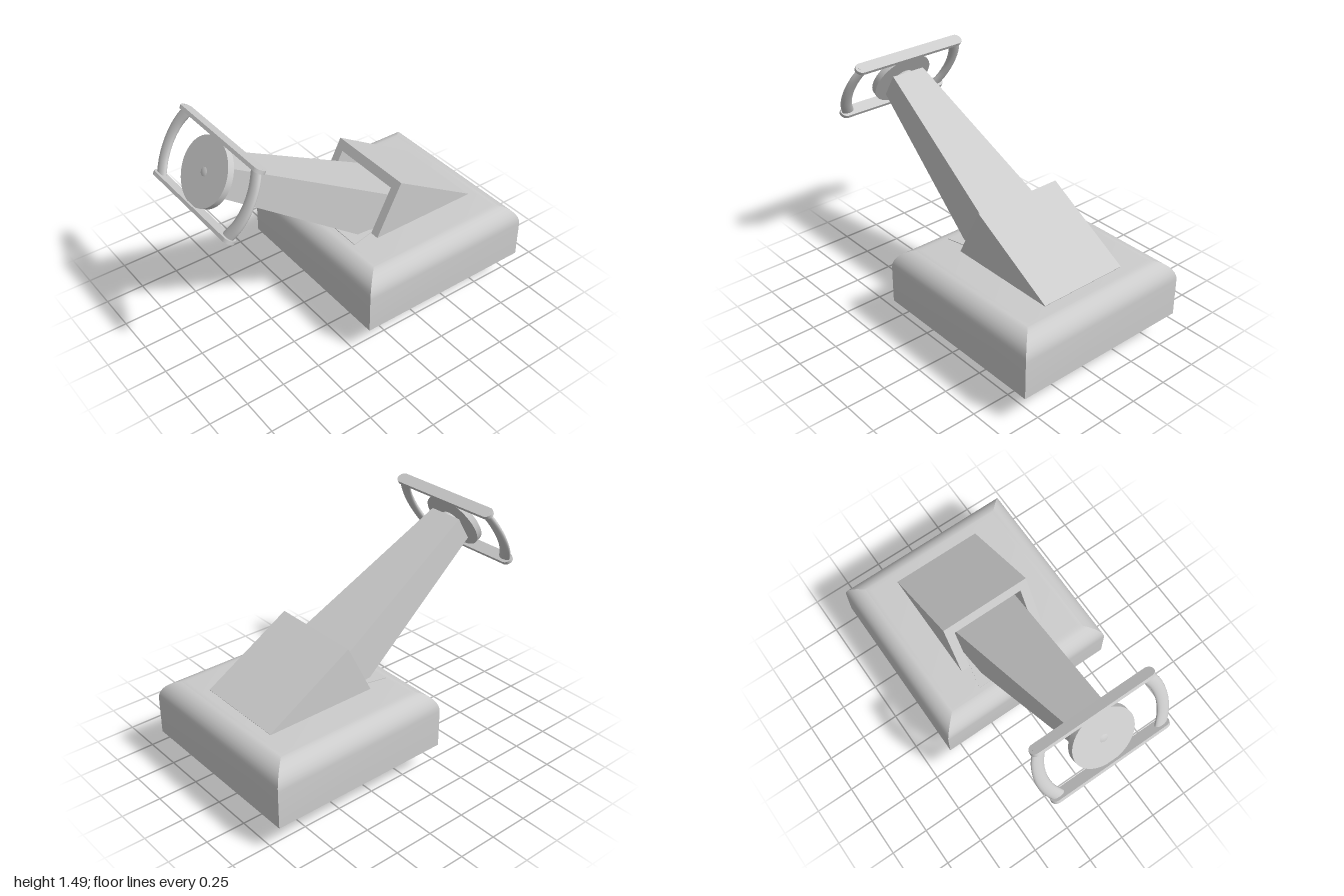
import * as THREE from 'three';
import { toCreasedNormals } from 'three/addons/utils/BufferGeometryUtils.js';

const material = new THREE.MeshStandardMaterial({ color: 0xcccccc });

function add(parent, name, geometry) {
  const mesh = new THREE.Mesh(geometry, material);
  mesh.name = name;
  parent.add(mesh);
}

// Joins a list of four-cornered rings and closes both ends; corners run
// anticlockwise seen from the last ring's end.
function loft(rings) {
  const pos = [];
  const quad = (a, b, c, d) => [a, b, c, a, c, d].forEach((p) => pos.push(...p));
  for (let i = 0; i + 1 < rings.length; i++) {
    for (let k = 0; k < 4; k++) {
      const n = (k + 1) % 4;
      quad(rings[i][k], rings[i][n], rings[i + 1][n], rings[i + 1][k]);
    }
  }
  quad(...[...rings[0]].reverse());
  quad(...rings[rings.length - 1]);
  const g = new THREE.BufferGeometry();
  g.setAttribute('position', new THREE.Float32BufferAttribute(pos, 3));
  g.computeVertexNormals();
  return toCreasedNormals(g, 0.4);
}

const polygon = (pts) => new THREE.Shape(pts.map(([x, y]) => new THREE.Vector2(x, y)));

const TOP = 0.557;

function buildBase(group) {
  const base = new THREE.Group();
  base.name = 'base';
  group.add(base);
  const ring = (inset, y) => {
    const w = 0.598 - inset, f = 0.195 - inset, b = -1 + inset;
    return [[-w, y, f], [w, y, f], [w, y, b], [-w, y, b]];
  };
  // straight walls, then a quarter-round shoulder with mitred corners
  const r = 0.13, rings = [ring(0, 0.185)];
  for (let i = 0; i <= 8; i++) {
    const a = (i / 8) * Math.PI / 2;
    rings.push(ring(r * (1 - Math.cos(a)), TOP - r + r * Math.sin(a)));
  }
  add(base, 'baseBody', loft(rings));

  // thin plate on the base under the arm (shape y is -z)
  const plate = polygon([[-0.27, -0.06], [0.27, -0.06], [0.235, 0.1], [-0.235, 0.1]]);
  add(base, 'armPlate', new THREE.ExtrudeGeometry(plate, { depth: 0.004, bevelEnabled: false })
    .rotateX(-Math.PI / 2).translate(0, TOP, 0));
}

function buildHousing(group) {
  const housing = new THREE.Group();
  housing.name = 'housing';
  group.add(housing);
  // slanted frame: width, height and depth directions from the lowest rear corner
  const slant = new THREE.Matrix4().makeBasis(
    new THREE.Vector3(1, 0, 0),
    new THREE.Vector3(0, 0.561, -0.285),
    new THREE.Vector3(0, 0.331, 0.563)
  ).setPosition(0, 0, -0.538);
  const outline = () => polygon([[-0.299, 0], [0.299, 0], [0.299, 1], [-0.299, 1]]);
  const slab = (shape, from, to) => new THREE.ExtrudeGeometry(shape, { depth: to - from, bevelEnabled: false })
    .translate(0, 0, from).applyMatrix4(slant);
  const rim = outline();
  rim.holes.push(polygon([[-0.24, 0.1], [-0.24, 0.9], [0.24, 0.9], [0.24, 0.1]]));
  add(housing, 'housingRear', slab(outline(), 0, 0.51));
  add(housing, 'housingRim', slab(rim, 0.51, 1));
}

function buildArm(group) {
  // tapering rectangular boom from the recess up to the handle
  const section = (w, topY, topZ, lowY, lowZ) =>
    [[-w, lowY, lowZ], [w, lowY, lowZ], [w, topY, topZ], [-w, topY, topZ]];
  add(group, 'arm', loft([
    section(0.238, 0.63, -0.48, 0.34, -0.325),
    section(0.115, 1.336, 0.779, 1.187, 0.87)
  ]));
}

function buildHandle(group) {
  const handle = new THREE.Group();
  handle.name = 'handle';
  handle.position.set(0, 1.282, 0.858);
  handle.rotation.x = -Math.PI / 6;
  group.add(handle);

  const turn = Math.PI / 2;
  add(handle, 'disc', new THREE.CylinderGeometry(0.2, 0.2, 0.04, 48).rotateX(turn));
  add(handle, 'neck', new THREE.SphereGeometry(0.085, 24, 16).translate(0, 0, -0.06));

  // flat bars with rounded ends above and below the disc
  const r = 0.037, end = 0.4 - r;
  const bar = new THREE.Shape();
  bar.absarc(end, 0, r, -turn, turn, false);
  bar.absarc(-end, 0, r, turn, 3 * turn, false);
  for (const s of [1, -1]) {
    const g = new THREE.ExtrudeGeometry(bar, { depth: 0.022, bevelEnabled: false, curveSegments: 12 });
    g.translate(0, 0, -0.011).rotateX(turn).translate(0, s * 0.207, 0);
    add(handle, s > 0 ? 'topBar' : 'bottomBar', g);
  }

  // bowed, flattened grips
  for (const s of [1, -1]) {
    const path = new THREE.CatmullRomCurve3([[0.345, -0.205], [0.385, -0.11], [0.4, 0], [0.385, 0.11], [0.345, 0.205]]
      .map(([x, y]) => new THREE.Vector3(s * x, y, 0)));
    const g = new THREE.TubeGeometry(path, 24, 0.039, 16).scale(1, 1, 0.48);
    add(handle, s > 0 ? 'leftGrip' : 'rightGrip', g);
  }
}

export function createModel() {
  const group = new THREE.Group();
  group.name = 'model';
  buildBase(group);
  buildHousing(group);
  buildArm(group);
  buildHandle(group);
  return group;
}
